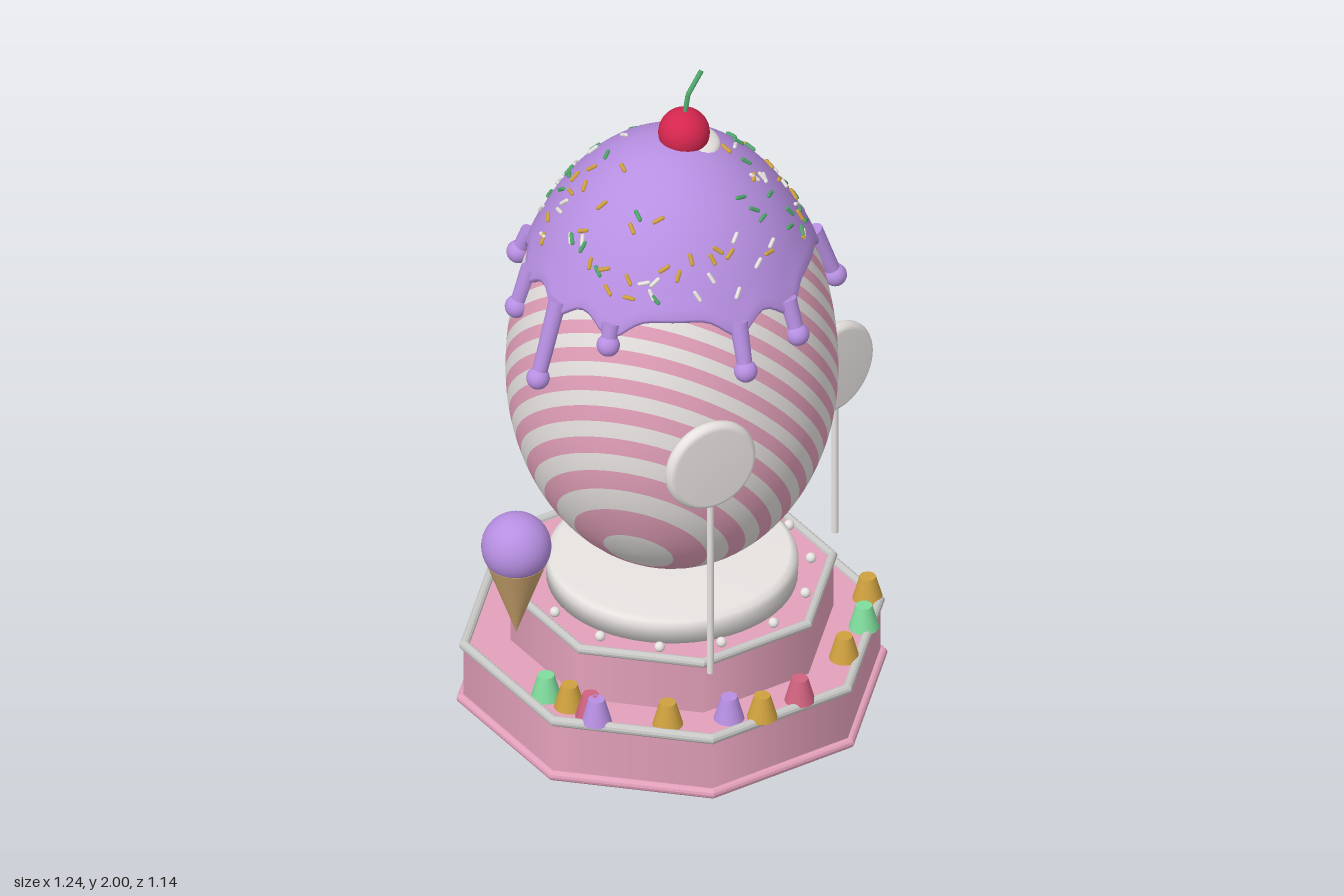
import * as THREE from 'three';
import { mergeGeometries } from 'three/addons/utils/BufferGeometryUtils.js';

const V = (x, y, z) => new THREE.Vector3(x, y, z);
const mat = (name, color) => Object.assign(new THREE.MeshStandardMaterial({ color }), { name });
const CX = -0.01, CZ = -0.01, EGG_Y = 1.05, EGG_R = 0.463, LOW = 0.6, HIGH = 0.75;

// Surface through closed rings of points, listed from the pole downwards
function ringSurface(rows, rowMaterial) {
  const n = rows[0].length, index = [], g = new THREE.BufferGeometry();
  g.setFromPoints(rows.flat());
  for (let i = 0; i < rows.length - 1; i++) {
    if (rowMaterial) g.addGroup(i * n * 6, n * 6, rowMaterial[i]);
    for (let j = 0; j < n; j++) {
      const k = (j + 1) % n, a = i * n + j, b = a + n, c = i * n + n + k, d = i * n + k;
      index.push(a, b, c, a, c, d);
    }
  }
  g.setIndex(index);
  g.computeVertexNormals();
  return g;
}

// Egg cut into planar slices along a tilted axis, so that each slice is one stripe
function stripedEgg() {
  const axis = V(-0.62, -0.59, 0.52).normalize();
  const u = V(0, 1, 0).cross(axis).normalize(), v = axis.clone().cross(u);
  const support = (dir) => {
    const b = dir.y > 0 ? HIGH : LOW;
    const p = V(dir.x * EGG_R ** 2, dir.y * b * b, dir.z * EGG_R ** 2);
    return p.divideScalar(Math.sqrt(p.dot(dir)));
  };
  const A = support(axis), B = support(axis.clone().negate());
  const total = A.clone().sub(B).dot(axis);
  const inside = (p) => (p.x ** 2 + p.z ** 2) / EGG_R ** 2 + (p.y / (p.y > 0 ? HIGH : LOW)) ** 2 < 1;
  const depths = [0], colours = [];
  let start = 0, end = 0.012, band = 0;
  while (start < total - 1e-6) {
    const last = end >= total, first = band === 0, steps = first || last ? 5 : 2;
    for (let s = 1; s <= steps; s++) {
      const t = s / steps, e = first ? t * t : last ? 1 - (1 - t) ** 2 : t;
      depths.push(start + (end - start) * e);
      colours.push(band % 2);
    }
    start = end;
    end = Math.min(end + 0.0325, total);
    band++;
  }
  const rows = depths.map((d) => {
    const mid = A.clone().lerp(B, d / total);
    return Array.from({ length: 96 }, (_, j) => {
      const f = j / 96 * Math.PI * 2;
      const w = u.clone().multiplyScalar(Math.cos(f)).addScaledVector(v, Math.sin(f));
      let lo = 0, hi = 1.5;
      for (let k = 0; k < 24; k++) {
        const m = (lo + hi) / 2;
        if (inside(mid.clone().addScaledVector(w, m))) lo = m; else hi = m;
      }
      return mid.clone().addScaledVector(w, lo);
    });
  });
  return ringSurface(rows, colours);
}

// Ends of the icing drips
const DRIPS = [
  [-0.153, 1.325, -0.44], [0.053, 1.238, -0.483], [0.24, 1.31, -0.393], [0.383, 1.3, -0.243],
  [0.427, 1.375, -0.057], [0.43, 1.286, 0.147], [0.133, 1.344, 0.407], [-0.06, 1.31, 0.437],
  [-0.37, 1.386, 0.213], [-0.485, 1.217, 0.033], [-0.427, 1.325, -0.163], [-0.313, 1.374, -0.327]
].map((p) => V(...p));
const azimuth = (p) => Math.atan2(-(p.z - CZ), p.x - CX);
const icingPoint = (theta, phi, grow = 0) => V(
  (EGG_R + 0.012 + grow) * Math.sin(phi) * Math.cos(theta),
  (HIGH + 0.012 + grow) * Math.cos(phi),
  -(EGG_R + 0.012 + grow) * Math.sin(phi) * Math.sin(theta));
function edgePhi(theta) {
  let y = 1.475;
  for (const d of DRIPS) {
    const a = theta - azimuth(d), w = Math.atan2(Math.sin(a), Math.cos(a));
    y -= 0.06 * Math.exp(-((w / 0.15) ** 2));
  }
  return Math.acos((y - EGG_Y) / (HIGH + 0.012));
}
function icingShell() {
  const rows = [], n = 120;
  const row = (f) => rows.push(Array.from({ length: n }, (_, j) => f(j / n * Math.PI * 2)));
  for (let i = 0; i <= 24; i++) row((t) => icingPoint(t, edgePhi(t) * i / 24, i > 22 ? 0.003 : 0));
  row((t) => icingPoint(t, edgePhi(t) + 0.012, -0.004));
  row((t) => icingPoint(t, edgePhi(t) + 0.004, -0.02));
  return ringSurface(rows);
}

export function createModel() {
  const root = new THREE.Group();
  root.name = 'candyEgg';
  const pink = mat('pink', 0xe3a0ba), white = mat('white', 0xeae6e4), silver = mat('silver', 0xc8c8c6);
  const purple = mat('purple', 0xb78fe2), red = mat('cherryRed', 0xd4264e), gold = mat('gold', 0xcfa13f);
  const mint = mat('mint', 0x7fdc9c), green = mat('leafGreen', 0x4fa56c), rose = mat('rose', 0xd0627f);
  const tan = mat('waffle', 0xcba56e);
  const add = (name, geo, material, x = 0, y = 0, z = 0, parent = root) => {
    const m = new THREE.Mesh(geo, material);
    m.name = name;
    m.position.set(x, y, z);
    parent.add(m);
    return m;
  };

  // Octagonal base tiers with trims
  const C8 = Math.cos(Math.PI / 8);
  const tier = (name, apothem, y0, y1) => {
    const g = new THREE.CylinderGeometry(apothem / C8, apothem / C8, y1 - y0, 8);
    g.rotateY(Math.PI / 8);
    add(name, g, pink, CX, (y0 + y1) / 2, CZ);
  };
  const trim = (name, apothem, r, y, material) => {
    let g = new THREE.TorusGeometry(apothem / C8, r, 12, 8);
    g.rotateZ(Math.PI / 8).rotateX(Math.PI / 2);
    g = g.toNonIndexed();
    g.computeVertexNormals();
    add(name, g, material, CX, y, CZ);
  };
  tier('lowerTier', 0.545, 0, 0.195);
  trim('lowerFootTrim', 0.55, 0.015, 0.016, pink);
  trim('lowerTopTrim', 0.543, 0.015, 0.193, silver);
  tier('upperTier', 0.423, 0.19, 0.36);
  trim('upperTopTrim', 0.42, 0.014, 0.36, silver);

  // Round pedestal with bead ring
  const pedestal = [[0, 0], [0.35, 0], [0.352, 0.05], [0.345, 0.068], [0.328, 0.078], [0, 0.08]];
  add('pedestal', new THREE.LatheGeometry(pedestal.map((p) => new THREE.Vector2(...p)), 64), white, CX, 0.36, CZ);
  const bead = new THREE.SphereGeometry(0.015, 14, 10);
  for (let i = 0; i < 14; i++) {
    const a = (i + 0.5) / 14 * Math.PI * 2;
    add('bead', bead, white, CX + 0.39 * Math.sin(a), 0.375, CZ + 0.39 * Math.cos(a));
  }

  // Egg and icing
  add('stripedEgg', stripedEgg(), [white, pink], CX, EGG_Y, CZ);
  add('icing', icingShell(), purple, CX, EGG_Y, CZ);
  for (const end of DRIPS) {
    const t = azimuth(end);
    const top = icingPoint(t, edgePhi(t) - 0.05).add(V(CX, EGG_Y, CZ));
    const dir = end.clone().sub(top), mid = top.clone().lerp(end, 0.5);
    const drip = add('drip', new THREE.CylinderGeometry(0.026, 0.021, dir.length(), 16), purple, ...mid);
    drip.quaternion.setFromUnitVectors(V(0, -1, 0), dir.normalize());
    add('dripBall', new THREE.SphereGeometry(0.033, 20, 14), purple, ...end);
  }

  // Sprinkles lying on the icing, merged per colour
  let seed = 7;
  const rand = () => (seed = (seed * 16807) % 2147483647) / 2147483647;
  const sprinkles = [[], [], []];
  for (let i = 0; i < 114; i++) {
    const t = rand() * Math.PI * 2, phi = 0.3 + 0.62 * Math.sqrt(rand());
    const p = icingPoint(t, phi, 0.003);
    const normal = V(p.x / EGG_R ** 2, p.y / HIGH ** 2, p.z / EGG_R ** 2).normalize();
    const g = new THREE.CapsuleGeometry(0.006, 0.026, 3, 8);
    g.rotateX(Math.PI / 2).rotateY(rand() * Math.PI);
    g.applyQuaternion(new THREE.Quaternion().setFromUnitVectors(V(0, 1, 0), normal));
    sprinkles[i % 3].push(g.translate(p.x, p.y, p.z));
  }
  [gold, green, white].forEach((m, i) => add('sprinkles', mergeGeometries(sprinkles[i]), m, CX, EGG_Y, CZ));

  // Cream, cherry and stem
  add('cream', new THREE.SphereGeometry(0.095, 32, 16), white, 0.04, 1.782, -0.013).scale.y = 0.3;
  add('cherry', new THREE.SphereGeometry(0.072, 32, 24), red, 0.03, 1.825, -0.01);
  const stem = new THREE.CurvePath();
  stem.add(new THREE.LineCurve3(V(0.03, 1.88, -0.008), V(0.045, 1.945, -0.012)));
  stem.add(new THREE.LineCurve3(V(0.045, 1.945, -0.012), V(0.1, 1.995, -0.028)));
  add('cherryStem', new THREE.TubeGeometry(stem, 16, 0.007, 8), green);

  // Lollipops
  const discProfile = [[0, -0.023], [0.12, -0.023], [0.132, -0.017], [0.138, -0.006], [0.138, 0.006],
    [0.132, 0.017], [0.12, 0.023], [0, 0.023]].map((p) => new THREE.Vector2(...p));
  const disc = new THREE.LatheGeometry(discProfile, 48).rotateX(Math.PI / 2);
  for (const [x, y, z, turn] of [[-0.193, 1.058, 0.46, -0.1], [0.48, 0.915, 0.07, 0.2]]) {
    const pop = new THREE.Group();
    pop.name = 'lollipop';
    pop.position.set(x, 0, z);
    pop.rotation.y = turn;
    root.add(pop);
    add('lollipopDisc', disc, white, 0, y, 0, pop);
    add('lollipopStick', new THREE.CylinderGeometry(0.01, 0.01, y - 0.46, 12), white, 0, (y + 0.26) / 2, 0, pop);
  }

  // Candy cane with a hook pointing outwards
  const canePoints = [0.36, 0.55, 0.75, 0.9].map((y) => V(0, y, 0));
  for (let i = 0; i <= 8; i++) {
    const a = Math.PI * (1 - i / 8);
    canePoints.push(V(0.08 + 0.08 * Math.cos(a), 0.96 + 0.08 * Math.sin(a), 0));
  }
  const cane = new THREE.Group();
  cane.name = 'candyCane';
  cane.position.set(0.35, 0, -0.335);
  cane.rotation.y = Math.PI / 4;
  root.add(cane);
  add('caneTube', new THREE.TubeGeometry(new THREE.CatmullRomCurve3(canePoints), 64, 0.022, 16), white, 0, 0, 0, cane);
  add('caneTip', new THREE.SphereGeometry(0.022, 16, 12), white, 0.16, 0.96, 0, cane);
  add('caneFoot', new THREE.CylinderGeometry(0.022, 0.022, 0.01, 16), white, 0, 0.363, 0, cane);

  // Ice cream cone
  add('waffleCone', new THREE.ConeGeometry(0.084, 0.235, 32).rotateX(Math.PI), tan, -0.527, 0.472, -0.013);
  add('scoop', new THREE.SphereGeometry(0.098, 32, 24), purple, -0.527, 0.642, -0.013);

  // Gumdrops along the lower tier
  const gumdrop = new THREE.CylinderGeometry(0.023, 0.043, 0.072, 20);
  const drops = [[-0.507, 0.107, mint], [-0.48, 0.183, gold], [-0.457, 0.255, rose], [-0.457, 0.285, purple],
    [-0.3, 0.407, gold], [-0.142, 0.477, purple], [-0.062, 0.523, gold], [0.072, 0.51, rose],
    [0.291, 0.403, gold], [0.42, 0.307, mint], [0.508, 0.193, gold], [0.473, -0.16, rose]];
  for (const [x, z, m] of drops) add('gumdrop', gumdrop, m, x, 0.234, z);

  return root;
}
